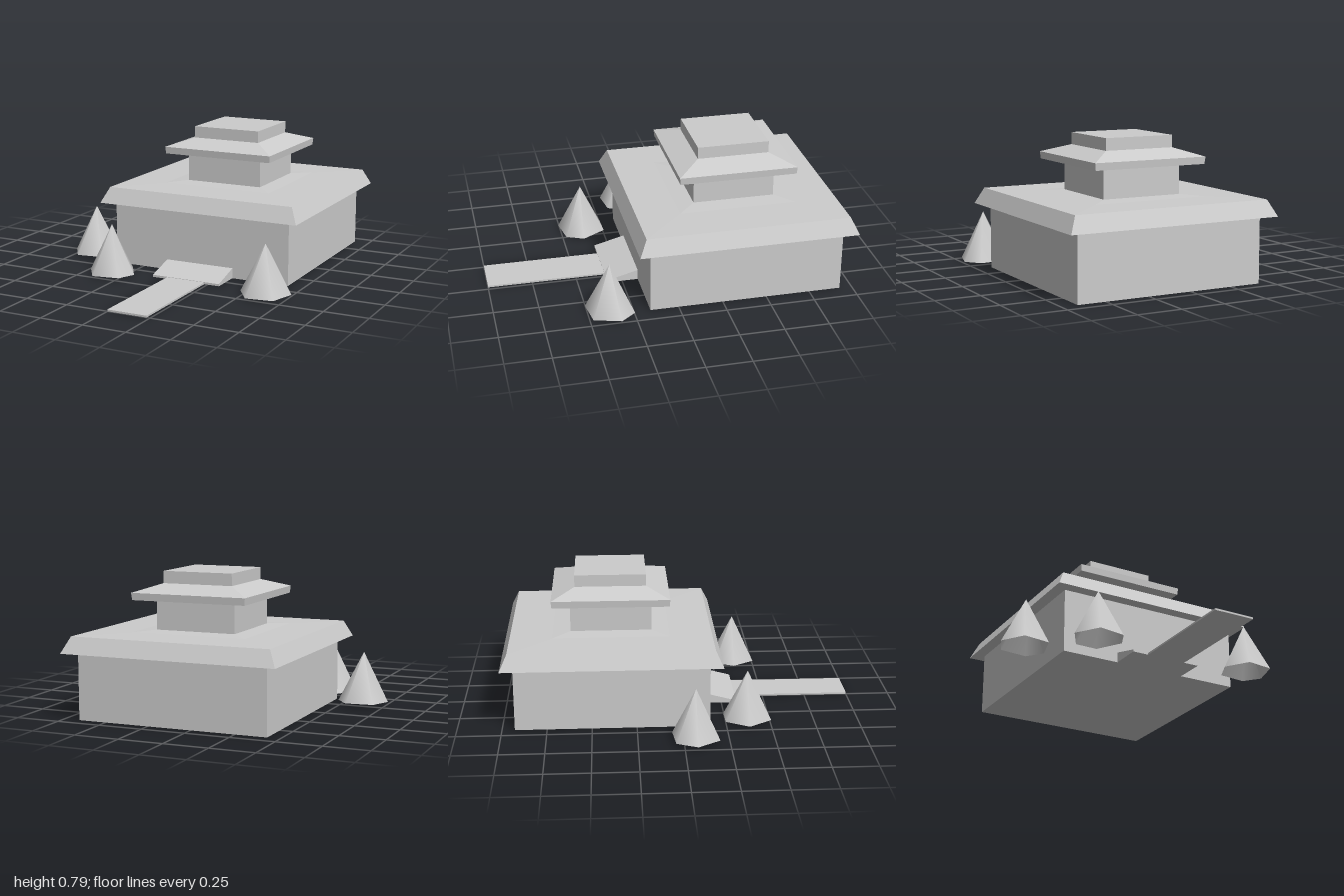
import * as THREE from 'three';

const grey = new THREE.MeshStandardMaterial({ color: 0xcccccc });
grey.name = 'plain grey';
const flatGrey = grey.clone();
flatGrey.flatShading = true;
const openGrey = grey.clone();
openGrey.side = THREE.DoubleSide;

const CX = 0.115, CZ = -0.385; // centre of the house

function add(parent, name, geometry, material = flatGrey) {
  const mesh = new THREE.Mesh(geometry, material);
  mesh.name = name;
  parent.add(mesh);
  return mesh;
}

// Square block whose half width goes from h0 at y0 to h1 at y1
function tier(parent, name, h0, y0, h1, y1) {
  const g = new THREE.CylinderGeometry(h1 * Math.SQRT2, h0 * Math.SQRT2, y1 - y0, 4);
  g.rotateY(Math.PI / 4);
  add(parent, name, g).position.set(CX, (y0 + y1) / 2, CZ);
}

// Six-sided open cone with slightly uneven corners
function cone() {
  const g = new THREE.ConeGeometry(0.143, 0.28, 6, 1, true);
  const nudge = [-3, 3, 6, -1, 6, -9];
  const p = g.attributes.position;
  for (let i = 0; i < p.count; i++) {
    const r = Math.hypot(p.getX(i), p.getZ(i));
    if (r < 0.01) continue;
    const a = Math.atan2(p.getZ(i), p.getX(i));
    const k = (Math.round((a * 180 / Math.PI - 30) / 60) + 6) % 6;
    const b = a + nudge[k] * Math.PI / 180;
    p.setX(i, r * Math.cos(b));
    p.setZ(i, r * Math.sin(b));
  }
  return g;
}

export function createModel() {
  const model = new THREE.Group();
  model.name = 'house';

  // Main hall and its wide roof
  tier(model, 'hallWalls', 0.544, 0, 0.544, 0.37);
  tier(model, 'hallRoofEave', 0.613, 0.367, 0.57, 0.457);
  tier(model, 'hallRoofTop', 0.57, 0.457, 0.33, 0.46);
  tier(model, 'hallRoofRise', 0.33, 0.46, 0.23, 0.467);

  // Upper storey, roof and cap
  tier(model, 'towerWalls', 0.23, 0.46, 0.23, 0.637);
  tier(model, 'towerRoofEave', 0.329, 0.635, 0.333, 0.675);
  tier(model, 'towerRoofSlope', 0.333, 0.675, 0.202, 0.72);
  tier(model, 'towerCap', 0.202, 0.72, 0.202, 0.787);

  // Entrance ramp: side profile (z, y) extruded across x
  const profile = new THREE.Shape([
    [0.158, 0], [0.335, 0], [0.335, 0.012], [0.158, 0.059],
  ].map(([z, y]) => new THREE.Vector2(z, y)));
  const ramp = new THREE.ExtrudeGeometry(profile, { depth: 0.415, bevelEnabled: false });
  ramp.rotateY(-Math.PI / 2);
  add(model, 'entranceRamp', ramp).position.x = 0.32;

  // Path
  add(model, 'path', new THREE.BoxGeometry(0.232, 0.01, 0.67)).position.set(0.114, 0.005, 0.665);

  // Trees: x, base height, z, turn in degrees
  [[-0.62, 0.022, 0.065, 22], [-0.335, 0.01, 0.375, 86], [0.615, 0.01, 0.375, 22]]
    .forEach(([x, y, z, turn], i) => {
      const tree = add(model, 'tree' + (i + 1), cone(), openGrey);
      tree.position.set(x, y + 0.14, z);
      tree.rotation.y = -turn * Math.PI / 180;
    });

  return model;
}
